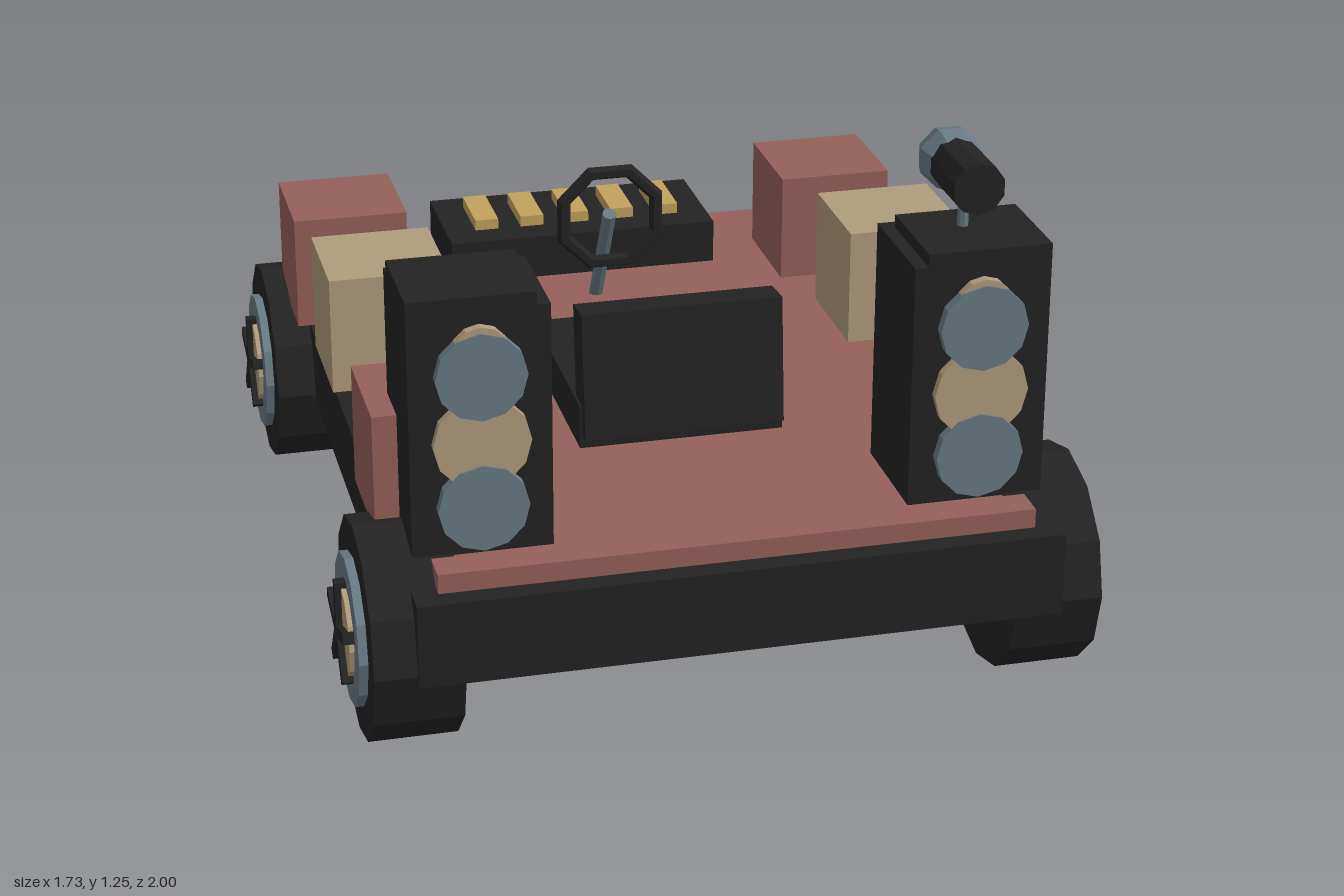
import * as THREE from 'three';

const paint = (name, color) => {
  const m = new THREE.MeshStandardMaterial({ color });
  m.name = name;
  return m;
};

export function createModel() {
  const black = paint('black', 0x232323);
  const red = paint('dusty red', 0x96605a);
  const tan = paint('tan', 0xb09c7c);
  const blue = paint('slate blue', 0x687a84);
  const gold = paint('gold', 0xc2a25c);
  const maroon = paint('maroon', 0x6b4641);

  const root = new THREE.Group();
  root.name = 'cart';

  const add = (name, geo, mat, parent = root) => {
    const g = geo.index ? geo.toNonIndexed() : geo;
    g.computeVertexNormals(); // faceted look
    const m = new THREE.Mesh(g, mat);
    m.name = name;
    parent.add(m);
    return m;
  };
  // box from its min and max corners
  const box = (name, mat, x0, x1, y0, y1, z0, z1, parent) => {
    const m = add(name, new THREE.BoxGeometry(x1 - x0, y1 - y0, z1 - z0), mat, parent);
    m.position.set((x0 + x1) / 2, (y0 + y1) / 2, (z0 + z1) / 2);
    return m;
  };
  // same box on both sides
  const pair = (name, mat, x0, x1, y0, y1, z0, z1) => {
    box(name + 'Left', mat, x0, x1, y0, y1, z0, z1);
    box(name + 'Right', mat, -x1, -x0, y0, y1, z0, z1);
  };

  // Chassis, deck and rails
  box('chassis', black, -0.725, 0.725, 0.225, 0.42, -1, 1);
  box('deck', red, -0.67, 0.67, 0.4, 0.465, -0.95, 0.95);
  pair('rail', tan, 0.65, 0.69, 0.455, 0.5, -0.92, 0.5);

  // Cargo boxes
  pair('rearBox', red, 0.485, 0.765, 0.455, 0.735, -0.745, -0.465);
  pair('frontBox', red, 0.485, 0.765, 0.455, 0.735, 0.43, 0.71);
  pair('middleBox', tan, 0.485, 0.765, 0.535, 0.815, -0.155, 0.125);

  // Wheels: tyre, rim, hub plate and five spokes, built along +x
  for (const side of [1, -1]) for (const z of [0.745, -0.745]) {
    const wheel = new THREE.Group();
    wheel.name = 'wheel';
    const disc = (name, mat, r, x0, x1, n) => {
      const g = new THREE.CylinderGeometry(r, r, x1 - x0, n).rotateZ(Math.PI / 2);
      add(name, g, mat, wheel).position.x = (x0 + x1) / 2;
    };
    disc('tyre', black, 0.25, 0.62, 0.82, 12);
    disc('rim', blue, 0.172, 0.8, 0.84, 12);
    disc('hubPlate', tan, 0.11, 0.82, 0.851, 12);
    for (let i = 0; i < 5; i++) {
      const g = new THREE.BoxGeometry(0.03, 0.12, 0.026)
        .translate(0.85, 0.06, 0).rotateX((i * Math.PI * 2) / 5);
      add('spoke', g, black, wheel);
    }
    wheel.position.set(0, 0.25, z);
    if (side < 0) wheel.rotation.y = Math.PI;
    root.add(wheel);
  }

  // Speaker towers with round cones on the front
  for (const side of [1, -1]) {
    const tower = new THREE.Group();
    tower.name = side > 0 ? 'speakerLeft' : 'speakerRight';
    const [a, b, c] = [0.4, 0.43, 0.71].map(v => v * side);
    box('cabinet', black, Math.min(a, c), Math.max(a, c), 0.465, 1.03, 0.59, 0.865, tower);
    box('cabinetCap', black, Math.min(b, c), Math.max(b, c), 1.0, 1.06, 0.622, 0.865, tower);
    const cones = [[0.58, 0.1, 0.89, blue], [0.73, 0.107, 0.885, tan],
      [0.885, 0.1, 0.89, blue], [0.935, 0.064, 0.886, tan]];
    for (const [y, r, z, mat] of cones) {
      const depth = z - 0.85;
      const g = new THREE.CylinderGeometry(r, r, depth, 12).rotateX(Math.PI / 2);
      add('cone', g, mat, tower).position.set(0.555 * side, y, z - depth / 2);
    }
    root.add(tower);
  }

  // Spotlight on the left tower
  add('lampPole', new THREE.CylinderGeometry(0.013, 0.013, 0.1, 8), blue).position.set(0.555, 1.09, 0.715);
  add('lampBarrel', new THREE.CylinderGeometry(0.06, 0.06, 0.21, 10).rotateX(Math.PI / 2), black)
    .position.set(0.555, 1.18, 0.71);
  add('lampBulb', new THREE.SphereGeometry(0.074, 8, 6).rotateX(Math.PI / 2).rotateZ(Math.PI / 8), blue)
    .position.set(0.555, 1.18, 0.614);

  // Seat with a leaning backrest
  box('seatBase', black, -0.24, 0.24, 0.465, 0.57, -0.1, 0.41);
  const back = new THREE.Group();
  back.name = 'backrest';
  box('backFrame', black, -0.235, 0.235, -0.15, 0.15, -0.045, 0.045, back);
  box('backPad', maroon, -0.18, 0.18, -0.1, 0.125, -0.07, -0.045, back);
  back.position.set(0, 0.643, 0.383);
  back.rotation.x = -0.1;
  root.add(back);

  // Steering wheel and sloping column
  add('steeringWheel', new THREE.TorusGeometry(0.126, 0.018, 6, 8).rotateZ(Math.PI / 8), black)
    .position.set(0, 0.735, -0.32);
  const top = new THREE.Vector3(0, 0.74, -0.325), foot = new THREE.Vector3(0, 0.46, -0.485);
  const dir = top.clone().sub(foot);
  const column = add('steeringColumn', new THREE.CylinderGeometry(0.018, 0.018, dir.length(), 8), blue);
  column.position.copy(top).add(foot).multiplyScalar(0.5);
  column.quaternion.setFromUnitVectors(new THREE.Vector3(0, 1, 0), dir.normalize());

  // Console with a row of keys
  box('console', black, -0.345, 0.345, 0.465, 0.575, -0.935, -0.62);
  for (let i = -2; i <= 2; i++) {
    const x = i * 0.119;
    box('key', gold, x - 0.03, x + 0.03, 0.56, 0.602, -0.875, -0.7);
  }

  return root;
}
